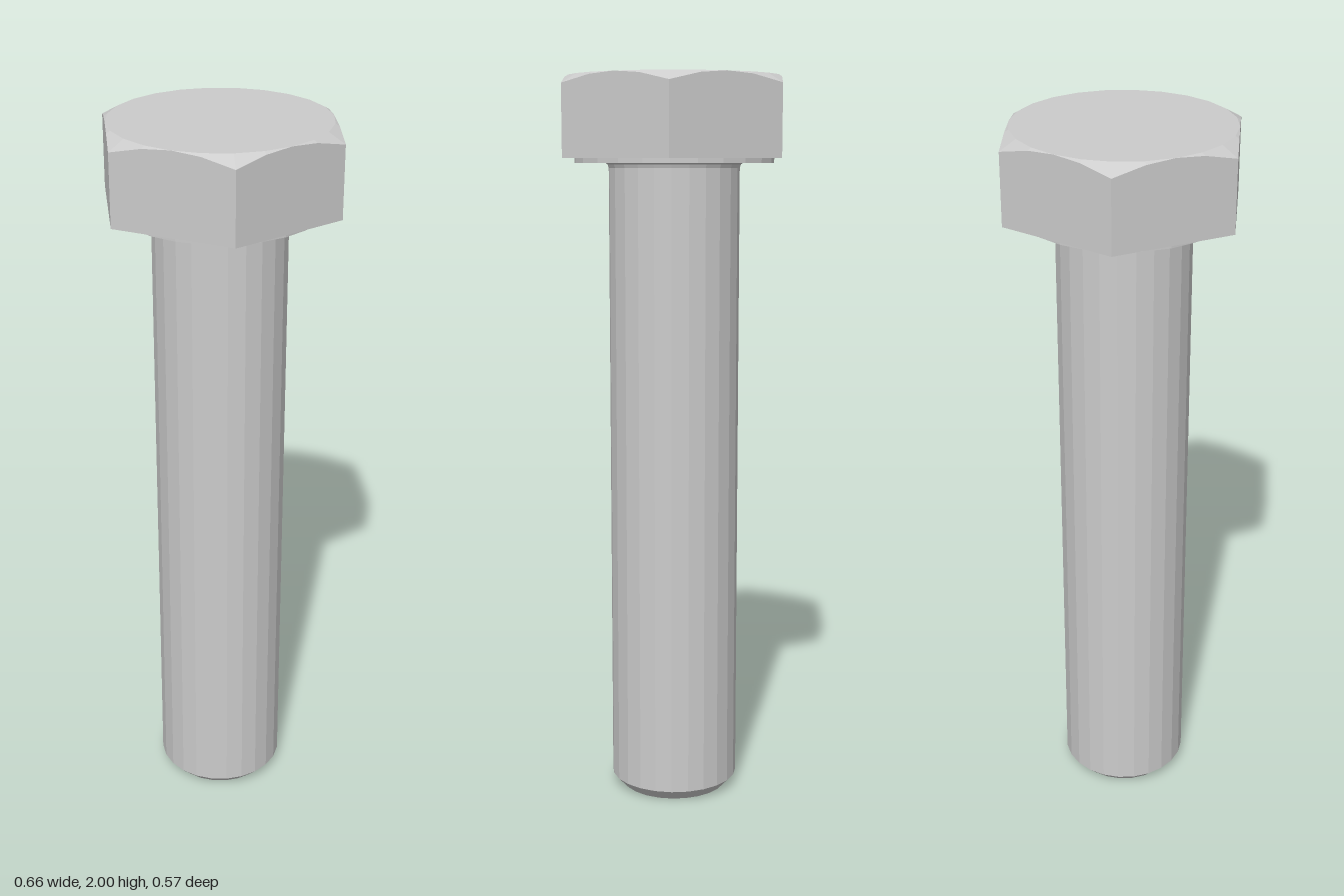
import * as THREE from 'three';

const SEGMENTS = 24;
const APOTHEM = 0.287;
const HEAD_BOTTOM = 1.783;
const HEAD_TOP = 2;

const material = new THREE.MeshStandardMaterial({ color: 0xcccccc, flatShading: true });

function addPart(group, name, geometry) {
  const flat = geometry.index ? geometry.toNonIndexed() : geometry;
  flat.computeVertexNormals();
  const mesh = new THREE.Mesh(flat, material);
  mesh.name = name;
  group.add(mesh);
}

function turned(points) {
  return new THREE.LatheGeometry(points.map(([r, y]) => new THREE.Vector2(r, y)), SEGMENTS);
}

// Hexagonal prism with corners on the x axis, its top cut by a 30 degree cone
function hexHead() {
  const sector = Math.PI / 3;
  const section = (i) => {
    const angle = ((i % SEGMENTS) / SEGMENTS) * Math.PI * 2;
    const r = APOTHEM / Math.cos((angle % sector) - sector / 2);
    const at = (radius, y) => [radius * Math.cos(angle), y, radius * Math.sin(angle)];
    return [
      at(0, HEAD_BOTTOM),
      at(r, HEAD_BOTTOM),
      at(r, HEAD_TOP - (r - APOTHEM) * Math.tan(Math.PI / 6)),
      at(APOTHEM, HEAD_TOP),
      at(0, HEAD_TOP),
    ];
  };
  const positions = [];
  for (let i = 0; i < SEGMENTS; i++) {
    const a = section(i);
    const b = section(i + 1);
    for (let k = 0; k < 4; k++) {
      if (k < 3) positions.push(...a[k], ...a[k + 1], ...b[k + 1]);
      if (k > 0) positions.push(...a[k], ...b[k + 1], ...b[k]);
      if (k === 3) positions.push(...a[k], ...a[k + 1], ...b[k + 1]);
    }
  }
  const geometry = new THREE.BufferGeometry();
  geometry.setAttribute('position', new THREE.Float32BufferAttribute(positions, 3));
  return geometry;
}

export function createModel() {
  const group = new THREE.Group();
  group.name = 'hexBolt';

  // Shank with a chamfered tip and a small fillet under the head
  addPart(group, 'shank', turned([
    [0, 0], [0.148, 0], [0.178, 0.032], [0.178, 1.757], [0.181, 1.766], [0.189, 1.771],
  ]));

  // Thin bearing face below the head
  addPart(group, 'washerFace', turned([[0, 1.77], [0.271, 1.77], [0.271, HEAD_BOTTOM]]));

  addPart(group, 'head', hexHead());
  return group;
}
